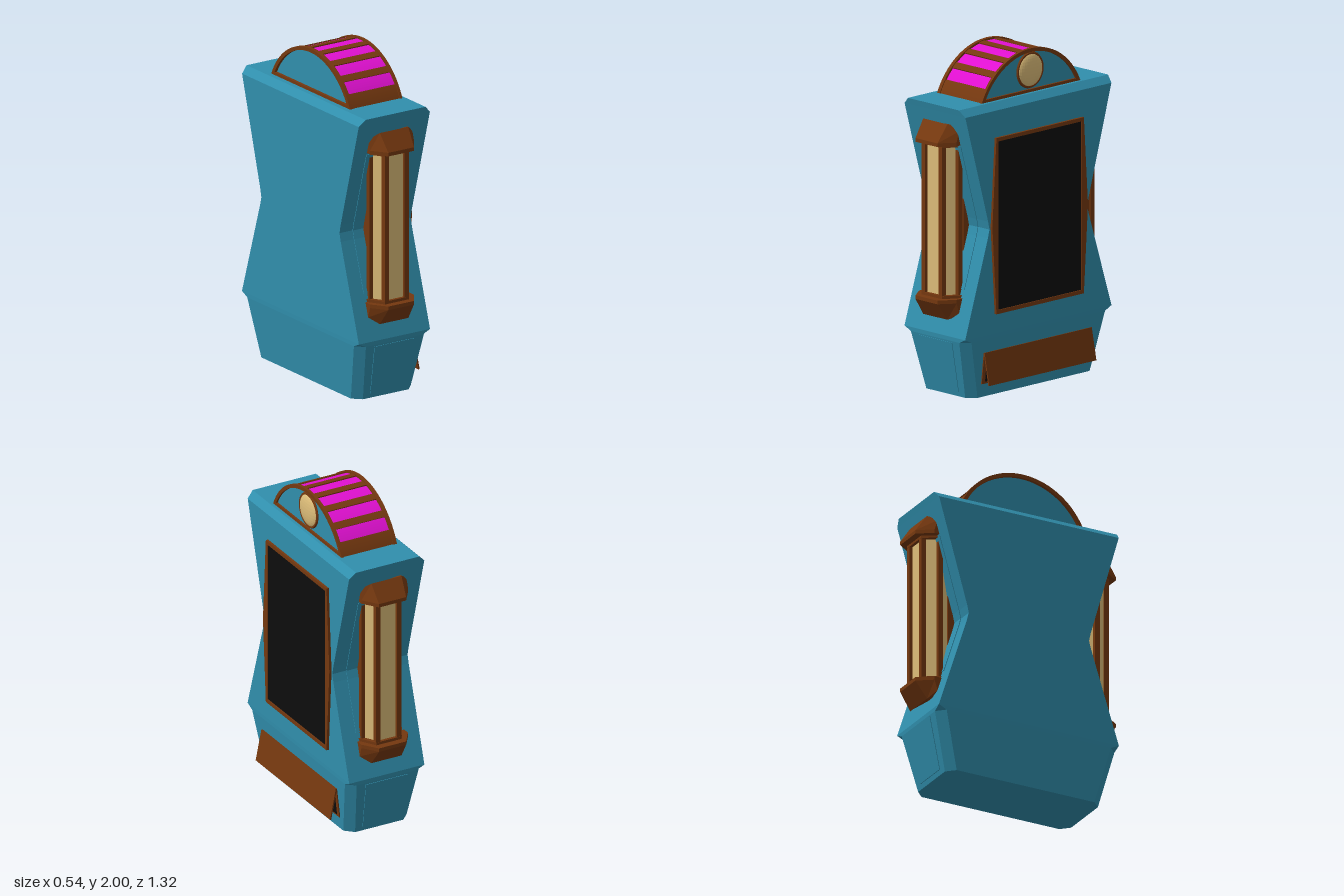
import * as THREE from 'three';

const material = (name, color) => {
  const m = new THREE.MeshStandardMaterial({ color, flatShading: true });
  m.name = name;
  return m;
};

const CX = -0.02; // middle of the cabinet across x
const ARC_Y = 1.562, ARC_R = 0.438; // circle of the arched top

// Closed skin over rings of [x, y, z], each counterclockwise from above, bottom to top
function loft(rings) {
  const pos = [], n = rings[0].length;
  const tri = (a, b, c) => pos.push(...a, ...b, ...c);
  for (let r = 0; r < rings.length - 1; r++) {
    const a = rings[r], b = rings[r + 1];
    for (let i = 0; i < n; i++) {
      const j = (i + 1) % n;
      tri(a[i], a[j], b[j]);
      tri(a[i], b[j], b[i]);
    }
  }
  const bottom = rings[0], top = rings[rings.length - 1];
  for (let i = 1; i < n - 1; i++) {
    tri(top[0], top[i], top[i + 1]);
    tri(bottom[0], bottom[i + 1], bottom[i]);
  }
  const g = new THREE.BufferGeometry();
  g.setAttribute('position', new THREE.Float32BufferAttribute(pos, 3));
  g.computeVertexNormals();
  return g;
}

// Extrude a side-view outline from x0 to x1
function sideExtrude(shape, x0, x1) {
  const g = new THREE.ExtrudeGeometry(shape, { depth: x1 - x0, bevelEnabled: false, curveSegments: 28 });
  return g.rotateY(Math.PI / 2).translate(x0, 0, 0);
}

// Circle segment above height y
function segment(r, y, Type = THREE.Shape) {
  const h = Math.acos((y - ARC_Y) / r);
  const s = new Type();
  s.absarc(0, ARC_Y, r, Math.PI / 2 - h, Math.PI / 2 + h, false);
  s.closePath();
  return s;
}

// Curved band between two angles, in degrees from straight up
function arcBand(r0, r1, a0, a1) {
  const t = (d) => Math.PI / 2 + (d * Math.PI) / 180;
  const s = new THREE.Shape();
  s.absarc(0, ARC_Y, r1, t(a0), t(a1), false);
  s.absarc(0, ARC_Y, r0, t(a1), t(a0), true);
  s.closePath();
  return s;
}

// Cabinet levels: y, half width in x, half depth in z, corner chamfer
const LEVELS = [
  [0, 0.21, 0.505, 0.05], [0.35, 0.249, 0.592, 0.05], [0.375, 0.25, 0.594, 0],
  [0.95, 0.25, 0.41, 0], [1.0, 0.25, 0.397, 0], [1.05, 0.25, 0.408, 0],
  [1.7, 0.25, 0.593, 0], [1.74, 0.21, 0.605, 0],
];

function depthAt(y) {
  const i = Math.max(1, LEVELS.findIndex((l) => l[0] >= y));
  const a = LEVELS[i - 1], b = LEVELS[i];
  return a[2] + ((b[2] - a[2]) * (y - a[0])) / (b[0] - a[0]);
}

export function createModel() {
  const model = new THREE.Group();
  model.name = 'cabinet';
  const teal = material('teal paint', 0x308eac);
  const brown = material('brown trim', 0x75380f);
  const cream = material('cream glass', 0xdcbc78);
  const black = material('black screen', 0x0d0d0d);
  const pink = material('magenta light', 0xe010d0);
  const add = (parent, name, geometry, mat) => {
    const m = new THREE.Mesh(geometry, mat);
    m.name = name;
    parent.add(m);
    return m;
  };

  // Waisted cabinet body
  add(model, 'body', loft(LEVELS.map(([y, hx, hz, c]) => [
    [hx - c, hz], [hx, hz - c], [hx, c - hz], [hx - c, -hz],
    [c - hx, -hz], [-hx, c - hz], [-hx, hz - c], [c - hx, hz],
  ].map(([x, z]) => [CX + x, y, z]))), teal);

  // Each end: thin panels and a caged lamp
  const plate = (rows) => loft(rows.map(([y, w]) => {
    const z = depthAt(y);
    return [[w, y, z + 0.004], [w, y, z - 0.02], [-w, y, z - 0.02], [-w, y, z + 0.004]];
  }));
  // Hexagonal cap; flip = -1 makes the lower one
  const capGeometry = (flip) => {
    const y = (d) => (flip > 0 ? 1.51 + d : 0.595 - d);
    const base = (d) => [[0.09, y(d), 0.662], [0.155, y(d), 0.57], [0.155, y(d), 0.4],
      [-0.155, y(d), 0.4], [-0.155, y(d), 0.57], [-0.09, y(d), 0.662]];
    const crown = [[0.1, y(0.125), 0.59], [0.155, y(0.085), 0.55], [0.155, y(0.085), 0.4],
      [-0.155, y(0.085), 0.4], [-0.155, y(0.085), 0.55], [-0.1, y(0.125), 0.59]];
    const rings = [base(0), base(0.022), crown];
    return loft(flip > 0 ? rings : rings.reverse());
  };
  const hexRing = (y, s) => [[0.07, 0.086], [0.122, 0], [0.07, -0.086],
    [-0.07, -0.086], [-0.122, 0], [-0.07, 0.086]].map(([x, z]) => [x * s, y, 0.517 + z * s]);

  for (const side of [0, 1]) {
    const end = new THREE.Group();
    end.name = side ? 'backEnd' : 'frontEnd';
    end.position.x = CX;
    end.rotation.y = side * Math.PI;
    model.add(end);
    add(end, 'upperPanel', plate([[0.645, 0.158], [0.95, 0.158], [1, 0.158], [1.05, 0.158], [1.5, 0.158]]), teal);
    add(end, 'lowerPanel', plate([[0.03, 0.115], [0.34, 0.138]]), teal);
    add(end, 'lampGlass', loft([hexRing(0.59, 0.98), hexRing(1.52, 0.98)]), cream);
    for (const [x, z, d] of [[0.07, 0.603, 0.032], [0.117, 0.517, 0.032], [0.07, 0.422, 0.045]]) {
      for (const s of [-1, 1]) {
        add(end, 'lampBar', new THREE.BoxGeometry(0.03, 0.93, d), brown).position.set(s * x, 1.055, z);
      }
    }
    add(end, 'upperCollar', loft([hexRing(1.495, 1.2), hexRing(1.515, 1.2)]), brown);
    add(end, 'lowerCollar', loft([hexRing(0.59, 1.2), hexRing(0.612, 1.2)]), brown);
    add(end, 'upperCap', capGeometry(1), brown);
    add(end, 'lowerCap', capGeometry(-1), brown);
  }

  // Screen and its six-sided frame
  const frame = new THREE.Shape([[0.355, 0.49], [0.388, 1.015], [0.355, 1.54],
    [-0.355, 1.54], [-0.388, 1.015], [-0.355, 0.49]].map((p) => new THREE.Vector2(...p)));
  frame.holes.push(new THREE.Path([[-0.337, 0.513], [-0.337, 1.518], [0.337, 1.518], [0.337, 0.513]]
    .map((p) => new THREE.Vector2(...p))));
  add(model, 'screenFrame', sideExtrude(frame, 0.225, 0.245), brown);
  add(model, 'screen', new THREE.BoxGeometry(0.02, 1.015, 0.685), black).position.set(0.229, 1.015, 0);

  // Slot with a flap hinged along its upper edge
  const slotPlate = (name, xTop, xBottom, height, width, mat) => {
    const m = add(model, name, new THREE.BoxGeometry(0.008, height, width), mat);
    m.position.set((xTop + xBottom) / 2, 0.175, 0);
    m.rotation.z = Math.atan2(xBottom - xTop, 0.19);
  };
  slotPlate('slotFrame', 0.222, 0.201, 0.19, 0.87, brown);
  slotPlate('slotOpening', 0.225, 0.204, 0.165, 0.82, black);
  slotPlate('slotFlap', 0.225, 0.263, 0.194, 0.87, brown);

  // Arched top: rims, inset sides, lit strips and crossbars
  const dome = new THREE.Group();
  dome.name = 'archedTop';
  model.add(dome);
  const rim = segment(ARC_R, 1.735);
  rim.holes.push(segment(0.416, 1.757, THREE.Path));
  add(dome, 'leftRim', sideExtrude(rim, 0.153, 0.17), brown);
  add(dome, 'rightRim', sideExtrude(rim, -0.198, -0.175), brown);
  add(dome, 'archSides', sideExtrude(segment(0.417, 1.737), -0.18, 0.158), teal);
  add(dome, 'lightStrips', sideExtrude(arcBand(0.405, 0.426, -55, 55), -0.176, 0.154), pink);
  for (let i = -3; i < 3; i++) {
    const a = (i + 0.5) * 16.3;
    add(dome, 'crossbar', sideExtrude(arcBand(0.405, 0.433, a - 2.85, a + 2.85), -0.176, 0.154), brown);
  }
  for (const s of [-1, 1]) {
    const a = s * 60;
    add(dome, 'archFoot', sideExtrude(arcBand(0.405, 0.433, a - 5.8, a + 5.8), -0.176, 0.154), brown);
  }

  // Round domed lens on the screen side
  const lens = add(dome, 'lens', new THREE.SphereGeometry(0.1, 28, 16), cream);
  lens.scale.x = 0.28;
  lens.position.set(0.157, 1.87, 0);
  const ring = add(dome, 'lensRing', new THREE.TorusGeometry(0.1, 0.009, 6, 32), brown);
  ring.rotation.y = Math.PI / 2;
  ring.position.set(0.16, 1.87, 0);

  return model;
}
